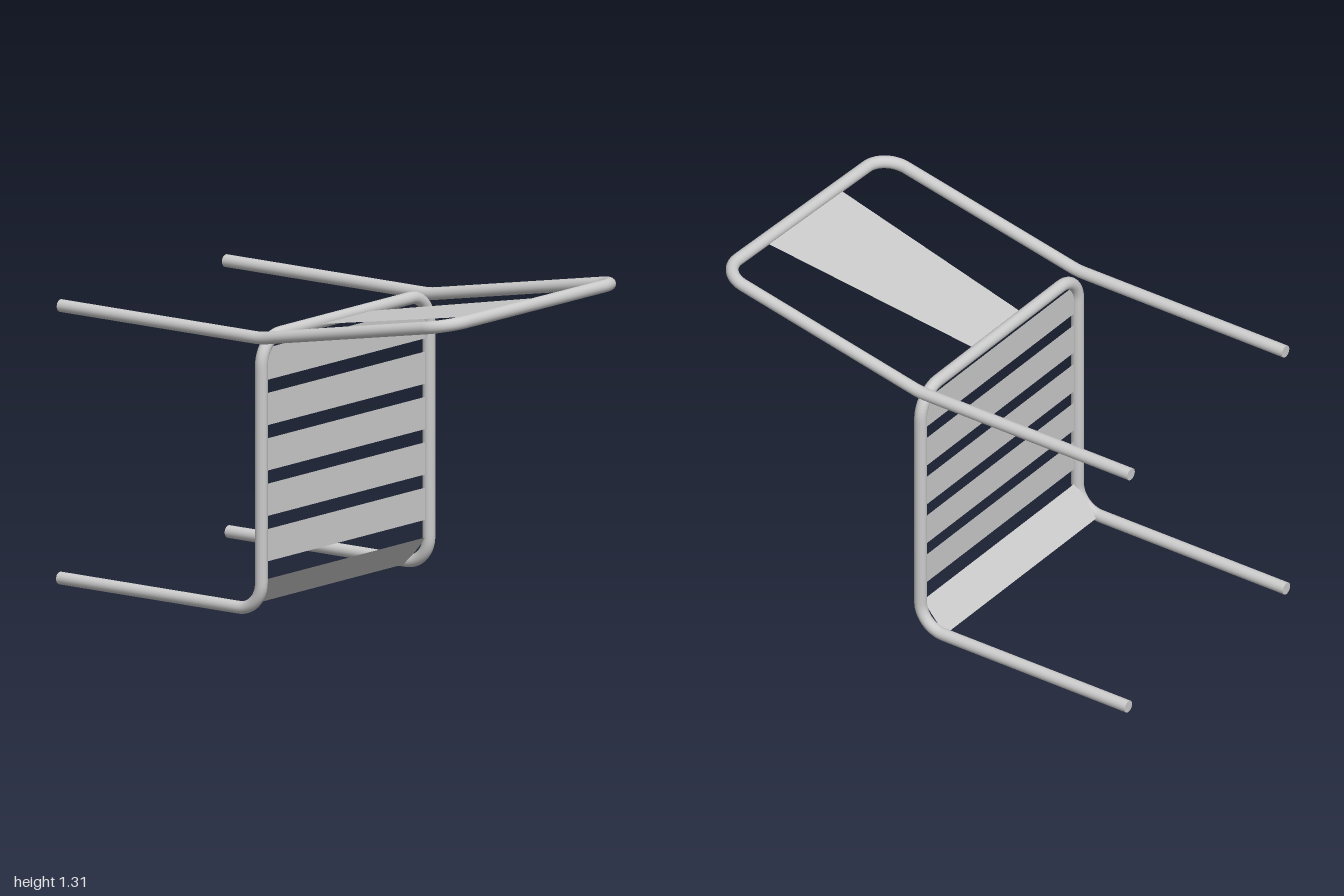
import * as THREE from 'three';

const metal = new THREE.MeshStandardMaterial({ color: 0xcccccc });
const sheet = new THREE.MeshStandardMaterial({ color: 0xcccccc, side: THREE.DoubleSide });
const RADIUS = 0.025;

// Polyline with each inner corner rounded by its own bend size
function bentPath(points, bends) {
  const v = points.map(p => new THREE.Vector3(...p));
  const path = new THREE.CurvePath();
  let start = v[0];
  for (let i = 1; i < v.length - 1; i++) {
    const toward = (target, d) => v[i].clone().add(target.clone().sub(v[i]).setLength(d));
    const r = bends[i - 1], k = r * 0.45;
    const a = toward(v[i - 1], r), b = toward(v[i + 1], r);
    path.add(new THREE.LineCurve3(start, a));
    path.add(new THREE.CubicBezierCurve3(a, toward(v[i - 1], k), toward(v[i + 1], k), b));
    start = b;
  }
  path.add(new THREE.LineCurve3(start, v[v.length - 1]));
  return path;
}

// Round bent tube with flat end caps; both ends point to -z
function bentTube(name, points, bends) {
  const group = new THREE.Group();
  group.name = name;
  const tube = new THREE.Mesh(new THREE.TubeGeometry(bentPath(points, bends), 320, RADIUS, 20), metal);
  tube.name = name + 'Tube';
  group.add(tube);
  for (const p of [points[0], points[points.length - 1]]) {
    const cap = new THREE.Mesh(new THREE.CircleGeometry(RADIUS, 20), metal);
    cap.name = 'tubeEnd';
    cap.rotation.y = Math.PI;
    cap.position.set(...p);
    group.add(cap);
  }
  return group;
}

// Thin four-cornered panel
function panel(name, a, b, c, d) {
  const geo = new THREE.BufferGeometry();
  geo.setAttribute('position', new THREE.Float32BufferAttribute([...a, ...b, ...c, ...d], 3));
  geo.setIndex([0, 1, 2, 0, 2, 3]);
  geo.computeVertexNormals();
  const mesh = new THREE.Mesh(geo, sheet);
  mesh.name = name;
  return mesh;
}

export function createModel() {
  const chair = new THREE.Group();
  chair.name = 'chair';

  // Seat frame and front legs: one continuous tube, the chair lying on its back
  chair.add(bentTube('seatFrame', [
    [-0.51, 0.03, -0.995], [-0.51, 0.03, 0], [-0.51, 1.115, 0],
    [0.54, 1.115, 0], [0.54, 0.04, 0], [0.54, 0.04, -0.99],
  ], [0.11, 0.115, 0.115, 0.11]));

  // Rear legs and backrest hoop, slightly askew
  chair.add(bentTube('backFrame', [
    [-0.525, 1.115, -0.98], [-0.525, 1.115, 0.01], [-0.545, 1.288, 0.948],
    [0.508, 1.294, 0.975], [0.532, 1.115, 0.01], [0.532, 1.115, -0.997],
  ], [0.025, 0.11, 0.11, 0.025]));

  // Seat slats between the side tubes
  const x0 = -0.495, x1 = 0.525;
  for (let i = 0; i < 5; i++) {
    const low = 0.22 + i * 0.18, high = low + 0.128;
    chair.add(panel('seatSlat', [x0, low, 0], [x1, low, 0], [x1, high, 0], [x0, high, 0]));
  }
  // Front slat cutting across the leg bend
  chair.add(panel('frontSlat', [x0, 0.03, -0.105], [x1, 0.03, -0.105], [x1, 0.15, 0], [x0, 0.15, 0]));

  // Tapered backrest panel
  chair.add(panel('backPanel',
    [-0.16, 1.11, 0.005], [-0.248, 1.282, 0.945], [0.228, 1.285, 0.957], [0.152, 1.11, 0.005]));

  return chair;
}
